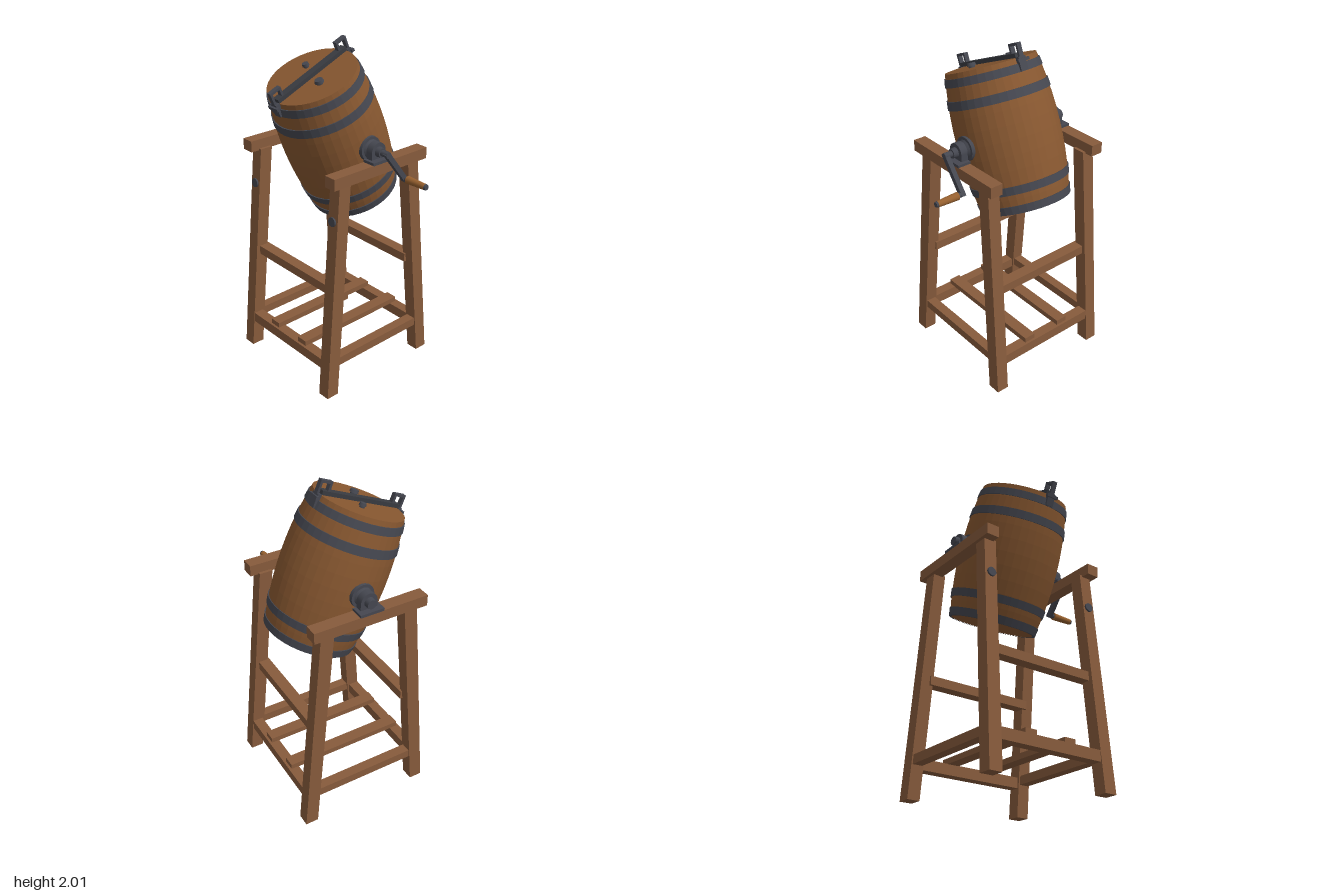
import * as THREE from 'three';

const CX = -0.103, CZ = -0.013, PIVOT_Y = 1.452;

export function createModel() {
  const mat = (name, color, extra = {}) => Object.assign(new THREE.MeshStandardMaterial({ color, ...extra }), { name });
  const frameWood = mat('frame wood', 0x875b3c);
  const barrelWood = mat('barrel wood', 0x875730);
  const handleWood = mat('handle wood', 0x96602f);
  const iron = mat('iron', 0x454750);
  const darkIron = mat('dark iron', 0x393b41);

  const model = new THREE.Group();
  model.name = 'barrelChurn';

  const add = (parent, name, geo, material, x = 0, y = 0, z = 0) => {
    const m = new THREE.Mesh(geo, material);
    m.name = name;
    m.position.set(x, y, z);
    parent.add(m);
    return m;
  };
  // box given by its limits on each axis
  const box = (parent, name, material, x0, x1, y0, y1, z0, z1) =>
    add(parent, name, new THREE.BoxGeometry(x1 - x0, y1 - y0, z1 - z0), material,
      (x0 + x1) / 2, (y0 + y1) / 2, (z0 + z1) / 2);
  // cylinder lying along x, from x0 to x1
  const rod = (parent, name, material, x0, x1, r0, r1, y = 0, z = 0, seg = 20) => {
    const g = new THREE.CylinderGeometry(r1, r0, Math.abs(x1 - x0), seg);
    g.rotateZ(x1 > x0 ? -Math.PI / 2 : Math.PI / 2);
    return add(parent, name, g, material, (x0 + x1) / 2, y, z);
  };

  // ---- stand ----
  const stand = new THREE.Group();
  stand.name = 'stand';
  stand.position.set(CX, 0, CZ);
  model.add(stand);

  for (const sx of [-1, 1]) {
    for (const sz of [-1, 1]) {
      // legs lean inwards but keep level ends
      const g = new THREE.BoxGeometry(0.077, 1.34, 0.08).translate(0, 0.67, 0);
      const p = g.attributes.position;
      for (let i = 0; i < p.count; i++) {
        const t = p.getY(i) / 1.34;
        p.setX(i, p.getX(i) + sx * (0.372 - 0.022 * t));
        p.setZ(i, p.getZ(i) + sz * (0.377 - 0.119 * t));
      }
      g.computeVertexNormals();
      add(stand, 'leg', g, frameWood);
    }
    const a = sx * 0.369;
    box(stand, 'topBeam', frameWood, a - 0.039, a + 0.039, 1.33, 1.397, -0.348, 0.352);
    box(stand, 'sideStretcher', frameWood, a - 0.03, a + 0.03, 0.19, 0.243, -0.34, 0.34);
    box(stand, 'bearingPlate', iron, a - 0.041, a + 0.041, 1.395, 1.412, -0.073, 0.073);

    // bolt on each front leg
    const bolt = add(stand, 'legBolt', new THREE.CylinderGeometry(0.027, 0.027, 0.03, 16), iron, sx * 0.352, 1.12, 0.313);
    bolt.rotation.x = Math.PI / 2 - 0.09;
  }
  for (const s of [-1, 1]) {
    box(stand, 'lowerCrossbar', frameWood, -0.365, 0.365, 0.17, 0.234, s * 0.363 - 0.032, s * 0.363 + 0.032);
    box(stand, 'upperCrossbar', frameWood, -0.345, 0.345, 0.65, 0.704, s * 0.298 - 0.035, s * 0.298 + 0.035);
    box(stand, 'floorSlat', frameWood, s * 0.13 - 0.037, s * 0.13 + 0.037, 0.232, 0.266, -0.38, 0.38);
  }

  // ---- tilted barrel ----
  const barrel = new THREE.Group();
  barrel.name = 'barrel';
  barrel.position.set(CX, PIVOT_Y, CZ);
  barrel.rotation.x = THREE.MathUtils.degToRad(23);
  model.add(barrel);

  const H = 0.407;
  const radius = y => 0.302 - 0.04 * Math.pow(Math.abs(y) / H, 2);
  const wall = [];
  for (let i = 0; i <= 10; i++) {
    const y = -H + (2 * H * i) / 10;
    wall.push(new THREE.Vector2(radius(y), y));
  }
  add(barrel, 'staves', new THREE.LatheGeometry(wall, 40), barrelWood);
  for (const s of [-1, 1]) {
    const cap = add(barrel, s > 0 ? 'lid' : 'bottom', new THREE.CircleGeometry(radius(H), 40), barrelWood, 0, s * H, 0);
    cap.rotation.x = -s * Math.PI / 2;
  }

  // iron hoops follow the bulge of the staves
  for (const [y0, y1] of [[-0.41, -0.363], [-0.297, -0.25], [0.208, 0.258], [0.333, 0.378]]) {
    const pts = [[-0.01, y0], [0.006, y0], [0.006, y1], [-0.01, y1]].map(([d, y]) => new THREE.Vector2(radius(y) + d, y));
    const g = new THREE.LatheGeometry(pts, 40).toNonIndexed();
    g.computeVertexNormals();
    add(barrel, 'hoop', g, iron);
  }

  // lid fittings
  for (const [x, z, r] of [[-0.1, -0.05, 0.021], [0.106, 0.033, 0.027]]) {
    add(barrel, 'lidPlugBase', new THREE.CylinderGeometry(r * 0.7, r * 0.7, 0.014, 16), iron, x, H + 0.007, z);
    add(barrel, 'lidPlug', new THREE.CylinderGeometry(r * 0.85, r, 0.016, 16), iron, x, H + 0.018, z);
  }
  box(barrel, 'lidBar', darkIron, -0.023, 0.023, H + 0.003, H + 0.026, -0.262, 0.262);

  // latch at each end of the lid bar
  for (const s of [-1, 1]) {
    const latch = new THREE.Group();
    latch.name = 'latch';
    latch.rotation.y = s > 0 ? 0 : Math.PI;
    barrel.add(latch);
    box(latch, 'latchPlate', iron, -0.024, 0.024, 0.335, 0.412, 0.262, 0.288);
    box(latch, 'latchPin', iron, -0.038, 0.038, 0.385, 0.402, 0.282, 0.3);
    box(latch, 'latchStrap', iron, -0.014, 0.014, 0.39, 0.486, 0.274, 0.288);
    box(latch, 'latchArm', iron, -0.014, 0.014, 0.472, 0.486, 0.215, 0.288);
    box(latch, 'latchHook', iron, -0.014, 0.014, 0.43, 0.486, 0.212, 0.226);
  }

  // ---- trunnions and bearings ----
  const axle = new THREE.Group();
  axle.name = 'axle';
  axle.position.set(CX, PIVOT_Y, CZ);
  model.add(axle);
  for (const s of [-1, 1]) {
    rod(axle, 'flange', iron, s * 0.285, s * 0.312, 0.074, 0.07, 0, 0, 24);
    rod(axle, 'flangeHub', iron, s * 0.31, s * 0.325, 0.056, 0.04);
    rod(axle, 'shaft', iron, s * 0.32, s * 0.39, 0.022, 0.022);
    rod(axle, 'bearing', iron, s * 0.33, s * 0.373, 0.052, 0.052);
    const a = s * 0.3515;
    box(axle, 'bearingFoot', iron, a - 0.0215, a + 0.0215, -0.045, 0, -0.052, 0.052);
    rod(axle, 'bearingCap', iron, s * 0.373, s * 0.402, 0.03, 0.027);
  }

  // ---- crank ----
  const ARM_Y = -0.177, ARM_Z = -0.137;
  const crank = new THREE.Group();
  crank.name = 'crank';
  crank.position.copy(axle.position);
  model.add(crank);
  rod(crank, 'crankShaft', iron, 0.39, 0.452, 0.018, 0.018);
  const len = Math.hypot(ARM_Y, ARM_Z);
  const arm = add(crank, 'crankArm', new THREE.BoxGeometry(0.028, len + 0.03, 0.03), iron, 0.438, ARM_Y / 2, ARM_Z / 2);
  arm.rotation.x = Math.atan2(ARM_Z, ARM_Y);
  rod(crank, 'handlePin', iron, 0.43, 0.475, 0.015, 0.015, ARM_Y, ARM_Z);
  rod(crank, 'handleGrip', handleWood, 0.468, 0.602, 0.023, 0.018, ARM_Y, ARM_Z);
  rod(crank, 'handleTip', iron, 0.602, 0.613, 0.018, 0.015, ARM_Y, ARM_Z);

  // facets on the staves
  const staves = barrel.getObjectByName('staves');
  staves.geometry = staves.geometry.toNonIndexed();
  staves.geometry.computeVertexNormals();

  return model;
}
